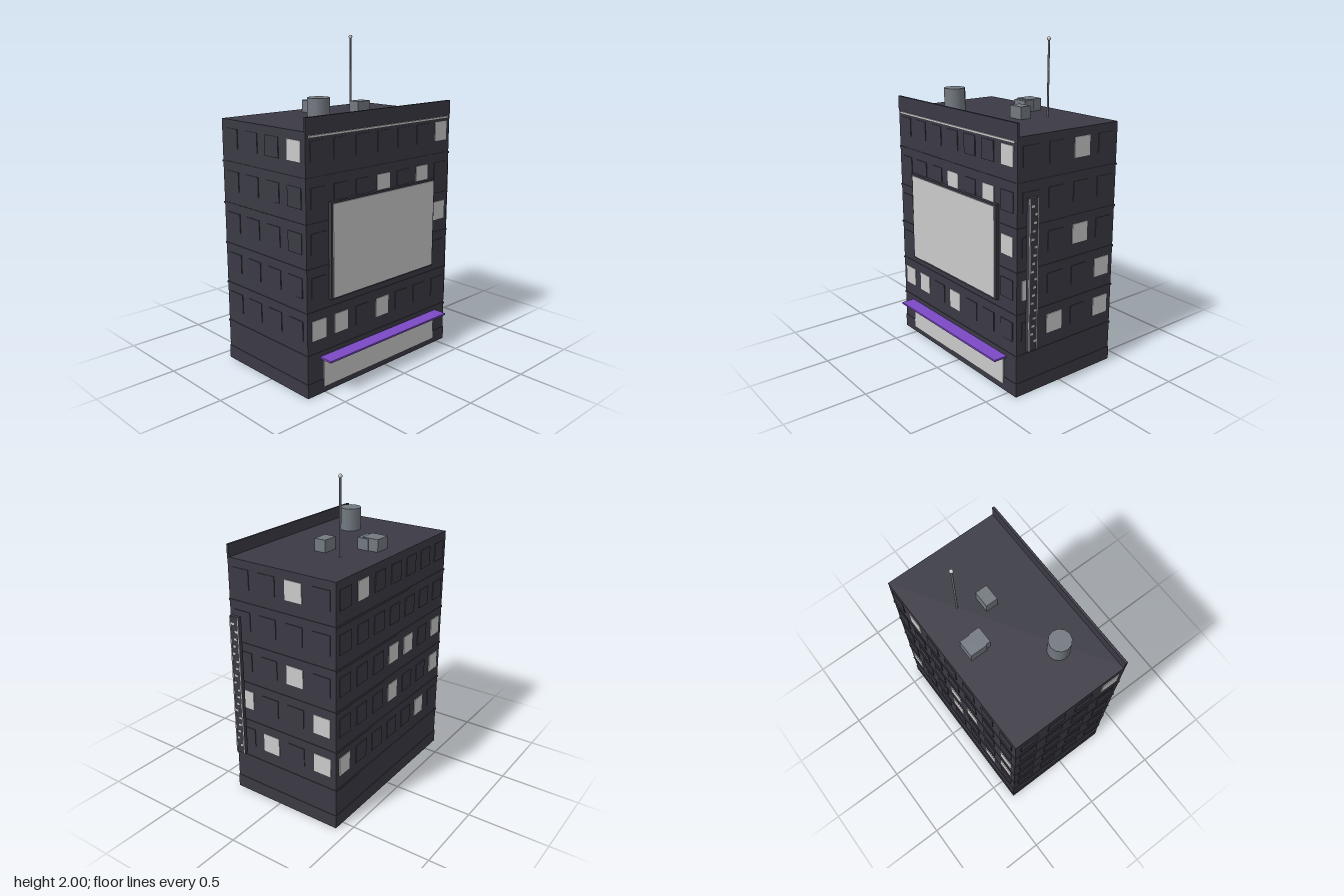
import * as THREE from 'three';

const mat = (name, color) => {
  const m = new THREE.MeshStandardMaterial({ color });
  m.name = name;
  return m;
};

export function createModel() {
  const wall = mat('charcoal wall', 0x3b3a45);
  const light = mat('pale panel', 0xcacaca);
  const metal = mat('grey metal', 0x737981);
  const purple = mat('purple awning', 0x7b49c4);

  const model = new THREE.Group();
  model.name = 'cityBuilding';

  const add = (name, geometry, material, x, y, z, parent = model) => {
    const mesh = new THREE.Mesh(geometry, material);
    mesh.name = name;
    mesh.position.set(x, y, z);
    parent.add(mesh);
    return mesh;
  };
  // Box given by its limits on each axis
  const box = (name, material, [x0, x1], [y0, y1], [z0, z1], parent) =>
    add(name, new THREE.BoxGeometry(x1 - x0, y1 - y0, z1 - z0), material,
      (x0 + x1) / 2, (y0 + y1) / 2, (z0 + z1) / 2, parent);

  // Main block
  const W = 1.196, D = 0.75, H = 1.53, CX = -0.03, CZ = -0.043;
  const FLOORS = 6, floorH = H / FLOORS;
  const front = CZ + D / 2, right = CX + W / 2;
  add('body', new THREE.BoxGeometry(W, H, D), wall, CX, H / 2, CZ);
  add('plinth', new THREE.BoxGeometry(W + 0.006, 0.085, D + 0.006), wall, CX, 0.0425, CZ);

  // Ledges between floors
  for (let i = 1; i < FLOORS; i++) {
    add('floorLedge', new THREE.BoxGeometry(W + 0.008, 0.012, D + 0.008), wall, CX, i * floorH, CZ);
  }

  // Front parapet and its trim strip
  box('parapet', wall, [CX - W / 2, right], [H - 0.01, 1.605], [front - 0.012, front + 0.003]);
  box('trimStrip', light, [-0.605, 0.55], [1.495, 1.508], [front, front + 0.008]);

  // Windows: columns run left to right as seen facing each wall, rows upward
  const walls = [
    { name: 'frontWindows', turn: 0, span: W, depth: D, cols: 7, lit: ['0,0', '0,1', '0,3', '2,6', '3,3', '3,5', '4,6'] },
    { name: 'backWindows', turn: Math.PI, span: W, depth: D, cols: 7, lit: ['0,0', '0,5', '1,3', '1,6', '2,3', '2,4', '2,6', '4,1'] },
    { name: 'leftWindows', turn: Math.PI / 2, span: D, depth: W, cols: 4, lit: ['0,1', '0,3', '1,0', '1,3', '2,2', '4,2'] },
    { name: 'rightWindows', turn: -Math.PI / 2, span: D, depth: W, cols: 4, lit: ['4,3'] },
  ];
  for (const { name, turn, span, depth, cols, lit } of walls) {
    const group = new THREE.Group();
    group.name = name;
    group.position.set(CX, 0, CZ);
    group.rotation.y = turn;
    model.add(group);
    const pitch = span / cols;
    const pane = new THREE.BoxGeometry(pitch * 0.62, 0.118, 0.009);
    for (let row = 0; row < FLOORS - 1; row++) {
      for (let col = 0; col < cols; col++) {
        const isLit = lit.includes(`${row},${col}`);
        add(isLit ? 'litWindow' : 'darkWindow', pane, isLit ? light : wall,
          (col + 0.5) * pitch - span / 2, 0.4 + row * floorH, depth / 2, group);
      }
    }
  }

  // Billboard, shop front and awning
  box('billboardFrame', wall, [-0.465, 0.41], [0.56, 1.13], [front, 0.355]);
  box('billboardPanel', light, [-0.452, 0.398], [0.572, 1.118], [0.353, 0.36]);
  box('shopFront', light, [-0.51, 0.455], [0.038, 0.21], [front, front + 0.008]);
  box('awning', purple, [-0.535, 0.48], [0.218, 0.229], [front, 0.42]);

  // Hanging vertical sign with pale edges and broken dashes
  box('verticalSign', wall, [0.597, 0.623], [0.3, 1.2], [0.225, 0.29]);
  for (const z of [0.228, 0.287]) {
    box('signEdge', light, [0.62, 0.625], [0.3, 1.2], [z - 0.003, z + 0.003]);
  }
  for (let i = 0; i < 18; i++) {
    const z = 0.245 + 0.008 * ((i * 3) % 4), y = 0.35 + i * 0.047;
    box('signDash', light, [0.62, 0.625], [y, y + 0.013], [z - 0.012, z + 0.008]);
  }

  // Rooftop equipment
  add('waterTank', new THREE.CylinderGeometry(0.066, 0.066, 0.14, 12), metal, -0.328, H + 0.07, 0.105);
  box('roofUnit', metal, [-0.095, 0.01], [H, 1.605], [-0.315, -0.21]);
  box('roofUnit', metal, [-0.087, 0.017], [H, 1.6], [-0.252, -0.18]);
  box('roofUnit', metal, [0.09, 0.192], [H, 1.605], [-0.075, 0]);
  add('antennaMast', new THREE.CylinderGeometry(0.006, 0.006, 0.46, 8), metal, 0.211, H + 0.23, -0.193);
  add('antennaTip', new THREE.SphereGeometry(0.012, 10, 8), light, 0.211, 1.988, -0.193);

  return model;
}
